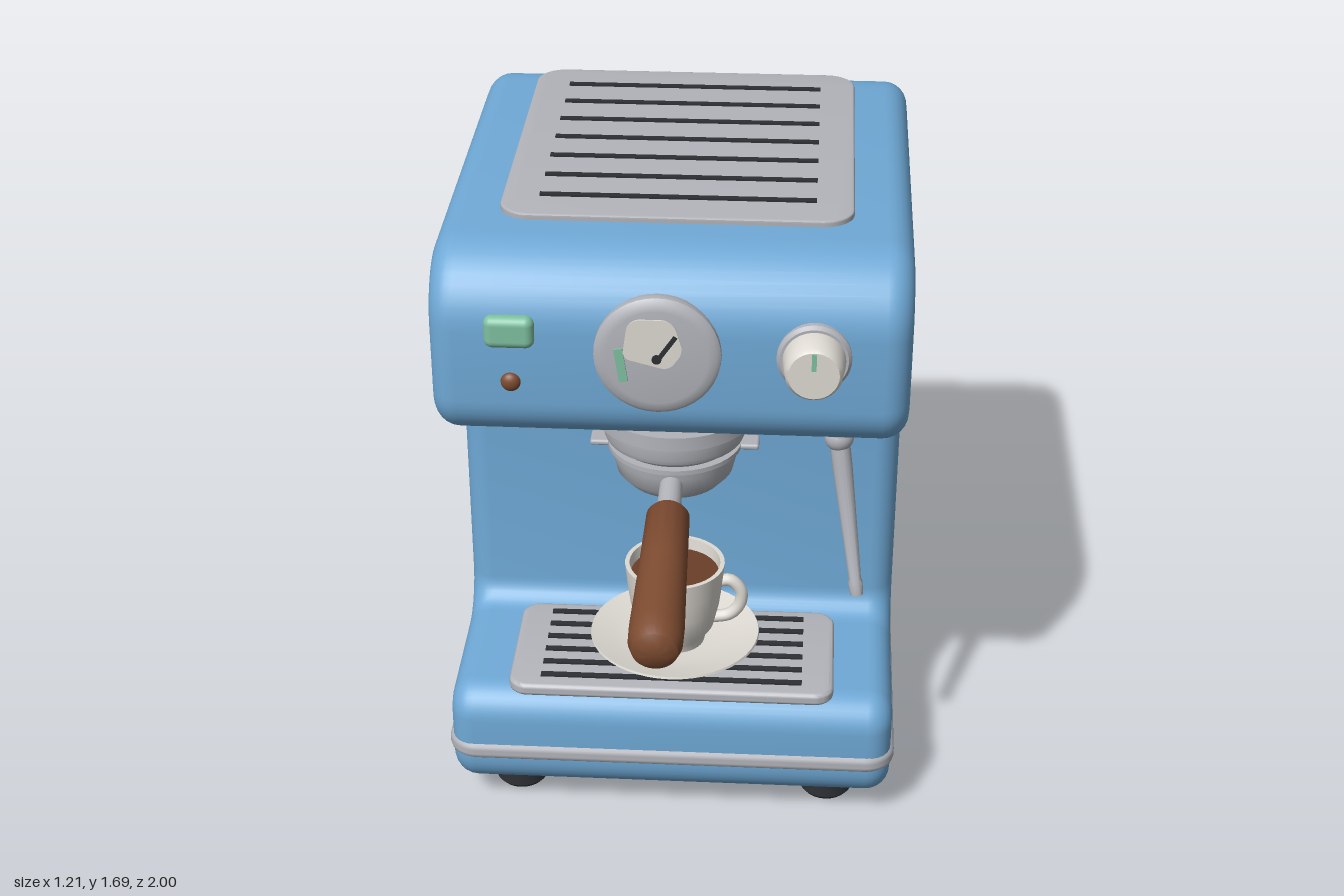
import * as THREE from 'three';
import { toCreasedNormals } from 'three/addons/utils/BufferGeometryUtils.js';
import { RoundedBoxGeometry } from 'three/addons/geometries/RoundedBoxGeometry.js';

const mat = (name, color) => Object.assign(new THREE.MeshStandardMaterial({ color }), { name });

// Closed outline from corners [x, y, radius], each corner rounded off
function roundedOutline(corners) {
  const shape = new THREE.Shape();
  const n = corners.length;
  corners.forEach(([x, y, r], i) => {
    const c = new THREE.Vector2(x, y);
    const towards = (j, d) => {
      const q = new THREE.Vector2(corners[j][0], corners[j][1]);
      return q.sub(c).normalize().multiplyScalar(d).add(c);
    };
    const prev = (i + n - 1) % n, next = (i + 1) % n;
    const a = towards(prev, r), b = towards(next, r);
    const h1 = towards(prev, r * 0.45), h2 = towards(next, r * 0.45);
    if (i === 0) shape.moveTo(a.x, a.y); else shape.lineTo(a.x, a.y);
    shape.bezierCurveTo(h1.x, h1.y, h2.x, h2.y, b.x, b.y);
  });
  shape.closePath();
  return shape;
}

// Extrusion with rounded edges, centred on its depth; the outline stays the outer size
function softExtrude(shape, depth, bevel, segments) {
  const geo = new THREE.ExtrudeGeometry(shape, {
    depth: depth - 2 * bevel, curveSegments: 10, bevelSize: bevel,
    bevelThickness: bevel, bevelOffset: -bevel, bevelSegments: segments,
  });
  geo.translate(0, 0, bevel - depth / 2);
  return toCreasedNormals(geo, 0.6);
}

// Flat horizontal plate with rounded corners
function plate(w, d, h, r, bevel) {
  const x = w / 2, y = d / 2;
  const shape = roundedOutline([[-x, -y, r], [x, -y, r], [x, y, r], [-x, y, r]]);
  return softExtrude(shape, h, bevel, 3).rotateX(-Math.PI / 2);
}

function lathe(points, segments = 40) {
  const geo = new THREE.LatheGeometry(points.map(([r, y]) => new THREE.Vector2(r, y)), segments);
  return toCreasedNormals(geo, 0.6);
}

export function createModel() {
  const model = new THREE.Group();
  model.name = 'espressoMachine';
  const blue = mat('blue enamel', 0x6fa9d6);
  const silver = mat('brushed steel', 0xb2b4ba);
  const wood = mat('brown wood', 0x7d4b30);
  const dark = mat('dark rubber', 0x2d2f33);
  const cream = mat('cream ceramic', 0xdedad3);
  const green = mat('green enamel', 0x7fc0a0);
  const coffee = mat('coffee', 0x6a3f28);

  const add = (name, geo, material, x = 0, y = 0, z = 0, parent = model) => {
    const mesh = new THREE.Mesh(geo, material);
    mesh.name = name;
    mesh.position.set(x, y, z);
    parent.add(mesh);
    return mesh;
  };
  // Rod or lathe part whose +y axis runs from a to b
  const aim = (mesh, a, b) => {
    const dir = new THREE.Vector3(...b).sub(new THREE.Vector3(...a)).normalize();
    mesh.position.set(...a);
    mesh.quaternion.setFromUnitVectors(new THREE.Vector3(0, 1, 0), dir);
    return mesh;
  };

  // Body: C-shaped side profile (z, y) extruded across the width
  const profile = roundedOutline([
    [-0.99, 0.07, 0.1], [0.455, 0.07, 0.11], [0.455, 0.39, 0.09], [-0.02, 0.39, 0.07],
    [-0.02, 1.17, 0.1], [0.455, 1.17, 0.12], [0.455, 1.67, 0.19], [-0.99, 1.67, 0.25],
  ]);
  add('body', softExtrude(profile, 1.19, 0.065, 6).rotateY(-Math.PI / 2), blue);
  add('trimBand', plate(1.21, 1.463, 0.052, 0.08, 0.02), silver, 0, 0.205, -0.2675);

  // Feet
  for (const x of [-0.425, 0.425]) for (const z of [0.285, -0.815]) {
    add('foot', lathe([[0, 0], [0.062, 0], [0.072, 0.012], [0.068, 0.085], [0, 0.085]], 24), dark, x, 0, z);
  }

  // Cup warmer on top and drip tray, each with slots
  const slots = (name, count, first, step, y) => {
    for (let i = 0; i < count; i++) {
      add(name, new THREE.BoxGeometry(0.7, 0.008, 0.018), dark, 0, y, first + i * step);
    }
  };
  add('cupWarmer', plate(0.89, 0.99, 0.024, 0.08, 0.006), silver, 0, 1.673, -0.295);
  slots('warmerSlot', 7, -0.67, 0.125, 1.686);
  add('dripTray', plate(0.87, 0.4, 0.036, 0.05, 0.012), silver, 0, 0.402, 0.243);
  slots('traySlot', 6, 0.09, 0.06, 0.421);

  // Group head under the overhang
  add('groupHead', lathe([
    [0, 1.06], [0.15, 1.06], [0.165, 1.08], [0.18, 1.085], [0.186, 1.1], [0.186, 1.138],
    [0.208, 1.142], [0.208, 1.18], [0, 1.18],
  ]), silver, 0, 0, 0.21);

  // Portafilter with ears, spout, neck and handle
  const portafilter = new THREE.Group();
  portafilter.name = 'portafilter';
  model.add(portafilter);
  add('basket', lathe([
    [0, 0.94], [0.08, 0.942], [0.125, 0.955], [0.152, 0.985], [0.163, 1.03],
    [0.166, 1.05], [0.175, 1.052], [0.175, 1.065], [0, 1.065],
  ]), silver, 0, 0, 0.21, portafilter);
  add('ears', new RoundedBoxGeometry(0.44, 0.016, 0.06, 2, 0.007), silver, 0, 1.057, 0.21, portafilter);
  add('spout', lathe([[0, 0.888], [0.014, 0.893], [0.022, 0.915], [0.018, 0.95]], 20), silver, 0, 0, 0.215, portafilter);
  const start = [0, 0.996, 0.485], end = [0, 0.92, 1];
  const neck = add('neck', new THREE.CylinderGeometry(0.032, 0.028, 0.2, 20).translate(0, -0.08, 0), silver, 0, 0, 0, portafilter);
  aim(neck, start, end);
  const handle = add('handle', lathe([
    [0, 0], [0.05, 0], [0.055, 0.008], [0.06, 0.2], [0.067, 0.42], [0.066, 0.47],
    [0.056, 0.498], [0.034, 0.512], [0, 0.515],
  ], 28), wood, 0, 0, 0, portafilter);
  aim(handle, start, end);

  // Steam wand
  const joint = [0.425, 1.135, 0.303], tip = [0.487, 0.69, 0.366];
  add('wandJoint', new THREE.SphereGeometry(0.038, 24, 16), silver, ...joint);
  add('wandMount', new THREE.CylinderGeometry(0.035, 0.035, 0.04, 24), silver, 0.425, 1.16, 0.303);
  const wand = add('steamWand', lathe([
    [0.026, 0], [0.026, 0.08], [0.016, 0.4], [0.019, 0.41], [0.017, 0.446], [0, 0.454],
  ], 20), silver);
  aim(wand, joint, tip);

  // Front panel: parts built along +y, then turned to face +z
  const facing = (geo) => geo.rotateX(Math.PI / 2);
  const gauge = new THREE.Group();
  gauge.name = 'gauge';
  gauge.position.set(-0.027, 1.44, 0.45);
  model.add(gauge);
  add('gaugeRim', facing(lathe([
    [0.15, -0.02], [0.157, 0.005], [0.156, 0.018], [0.145, 0.028], [0.125, 0.031], [0, 0.034],
  ])), silver, 0, 0, 0, gauge);
  const dial = roundedOutline([
    [-0.085, 0.0, 0.02], [0.03, -0.03, 0.02], [0.065, 0.02, 0.02], [0.04, 0.105, 0.03], [-0.07, 0.105, 0.03],
  ]);
  add('dialFace', new THREE.ExtrudeGeometry(dial, { depth: 0.004, bevelEnabled: false }), cream, 0, 0, 0.032, gauge);
  const needle = add('needle', new THREE.BoxGeometry(0.011, 0.085, 0.005), dark, 0.022, 0.027, 0.038, gauge);
  needle.rotation.z = -0.6;
  add('needleHub', facing(new THREE.CylinderGeometry(0.012, 0.012, 0.006, 16)), dark, 0, 0, 0.038, gauge);
  const mark = add('gaugeMark', new THREE.BoxGeometry(0.022, 0.09, 0.006), green, -0.088, -0.02, 0.034, gauge);
  mark.rotation.z = 0.15;

  const knob = new THREE.Group();
  knob.name = 'knob';
  knob.position.set(0.355, 1.44, 0.45);
  model.add(knob);
  add('knobBezel', facing(lathe([[0.092, -0.01], [0.092, 0.012], [0.084, 0.022], [0, 0.022]])), silver, 0, 0, 0, knob);
  add('knobGrip', facing(lathe([[0.078, 0.01], [0.077, 0.03], [0.07, 0.09], [0.062, 0.1], [0, 0.1]])), cream, 0, 0, 0, knob);
  add('knobMark', new THREE.BoxGeometry(0.012, 0.045, 0.006), green, 0, 0.037, 0.1, knob);

  add('powerSwitch', new RoundedBoxGeometry(0.125, 0.085, 0.05, 4, 0.022), green, -0.39, 1.488, 0.45);
  add('indicatorLamp', new THREE.SphereGeometry(0.025, 20, 14).scale(1, 1, 0.7), wood, -0.39, 1.35, 0.455);

  // Cup and saucer
  const cup = new THREE.Group();
  cup.name = 'cupAndSaucer';
  cup.position.z = 0.22;
  model.add(cup);
  add('saucer', lathe([
    [0, 0.425], [0.13, 0.425], [0.18, 0.438], [0.23, 0.462], [0.228, 0.468],
    [0.17, 0.452], [0.12, 0.442], [0, 0.442],
  ], 48), cream, 0, 0, 0, cup);
  add('cup', lathe([
    [0, 0.44], [0.08, 0.44], [0.085, 0.465], [0.105, 0.495], [0.12, 0.56], [0.128, 0.62], [0.134, 0.685],
    [0.122, 0.685], [0.115, 0.62], [0.1, 0.53], [0, 0.5],
  ]), cream, 0, 0, 0, cup);
  add('coffeeSurface', new THREE.CylinderGeometry(0.119, 0.116, 0.008, 40), coffee, 0, 0.648, 0, cup);
  const loop = new THREE.CatmullRomCurve3([
    [0.115, 0.628], [0.15, 0.632], [0.178, 0.6], [0.175, 0.555], [0.148, 0.523], [0.1, 0.512],
  ].map(([x, y]) => new THREE.Vector3(x, y, 0)));
  add('cupHandle', new THREE.TubeGeometry(loop, 24, 0.017, 12), cream, 0, 0, 0, cup);

  return model;
}
